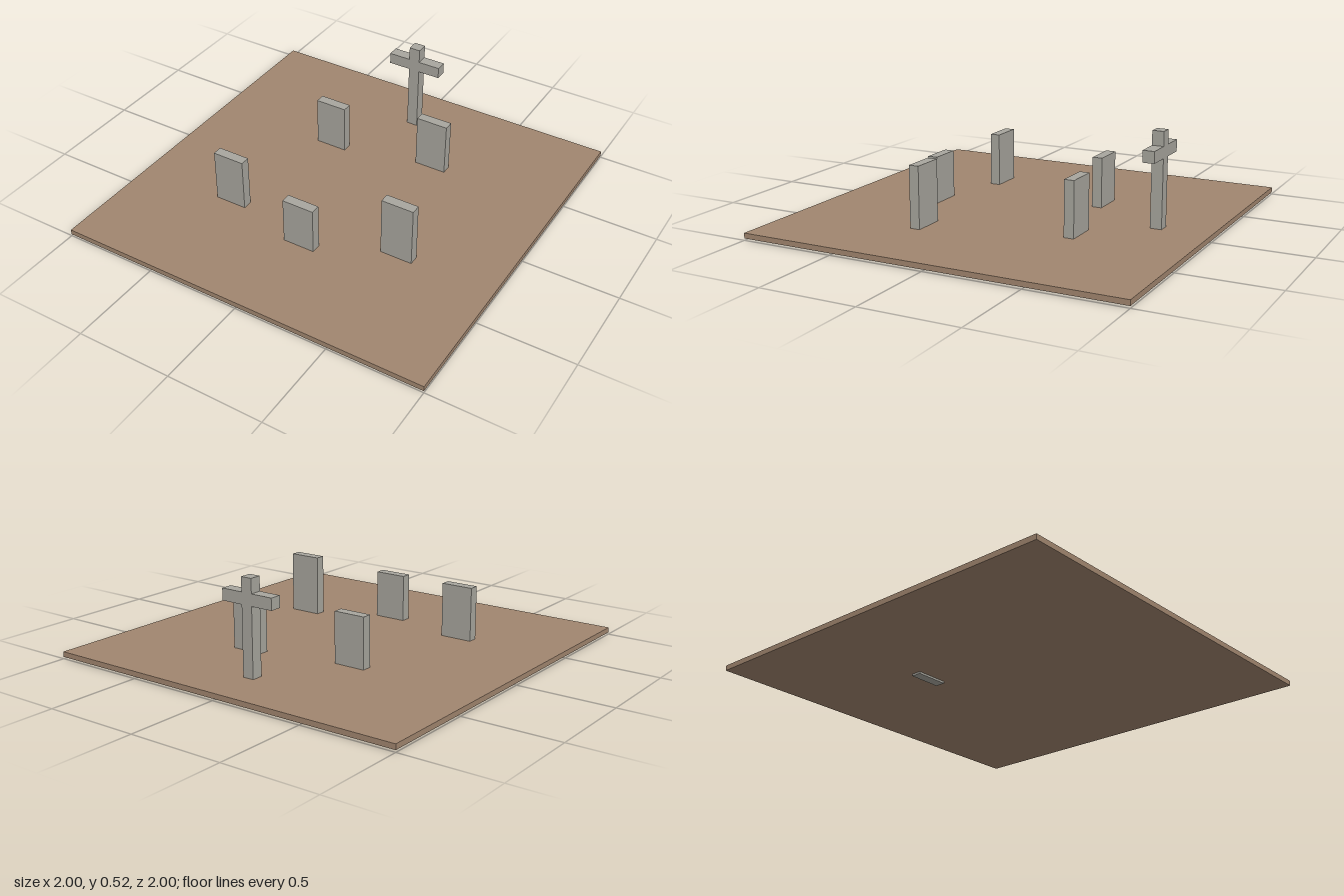
import * as THREE from 'three';

const earth = new THREE.MeshStandardMaterial({ color: 0xa1866f });
const stone = new THREE.MeshStandardMaterial({ color: 0xa8a69e });

// Box resting between two heights
function block(name, material, [w, d], [x, z], bottom, top) {
  const mesh = new THREE.Mesh(new THREE.BoxGeometry(w, top - bottom, d), material);
  mesh.name = name;
  mesh.position.set(x, (bottom + top) / 2, z);
  return mesh;
}

// Upright cross cut from one outline, centred in depth
function cross() {
  const post = 0.03, arm = 0.148, foot = 0.015, armLow = 0.39, armHigh = 0.45, top = 0.523;
  const right = [[post, foot], [post, armLow], [arm, armLow], [arm, armHigh], [post, armHigh], [post, top]];
  const left = right.map(([x, y]) => [-x, y]).reverse();
  const outline = new THREE.Shape([...right, ...left].map(([x, y]) => new THREE.Vector2(x, y)));
  const depth = 0.06;
  const geometry = new THREE.ExtrudeGeometry(outline, { depth, bevelEnabled: false });
  geometry.translate(0, 0, -depth / 2);
  const mesh = new THREE.Mesh(geometry, stone);
  mesh.name = 'cross';
  mesh.position.set(-0.002, 0, -0.725);
  return mesh;
}

export function createModel() {
  const model = new THREE.Group();
  model.name = 'graveyard';

  // Thin slab of ground
  model.add(block('ground', earth, [2, 2], [0, 0], 0.01, 0.037));

  // Headstones: x, z, bottom, top
  const headstones = [
    [-0.45, 0.378, 0.013, 0.317],
    [-0.278, -0.313, 0, 0.3],
    [0.032, 0.482, 0.013, 0.283],
    [0.275, -0.417, 0.013, 0.322],
    [0.481, 0.309, 0.013, 0.353],
  ];
  headstones.forEach(([x, z, bottom, top], i) => {
    model.add(block(`headstone${i + 1}`, stone, [0.171, 0.052], [x, z], bottom, top));
  });

  model.add(cross());
  return model;
}
